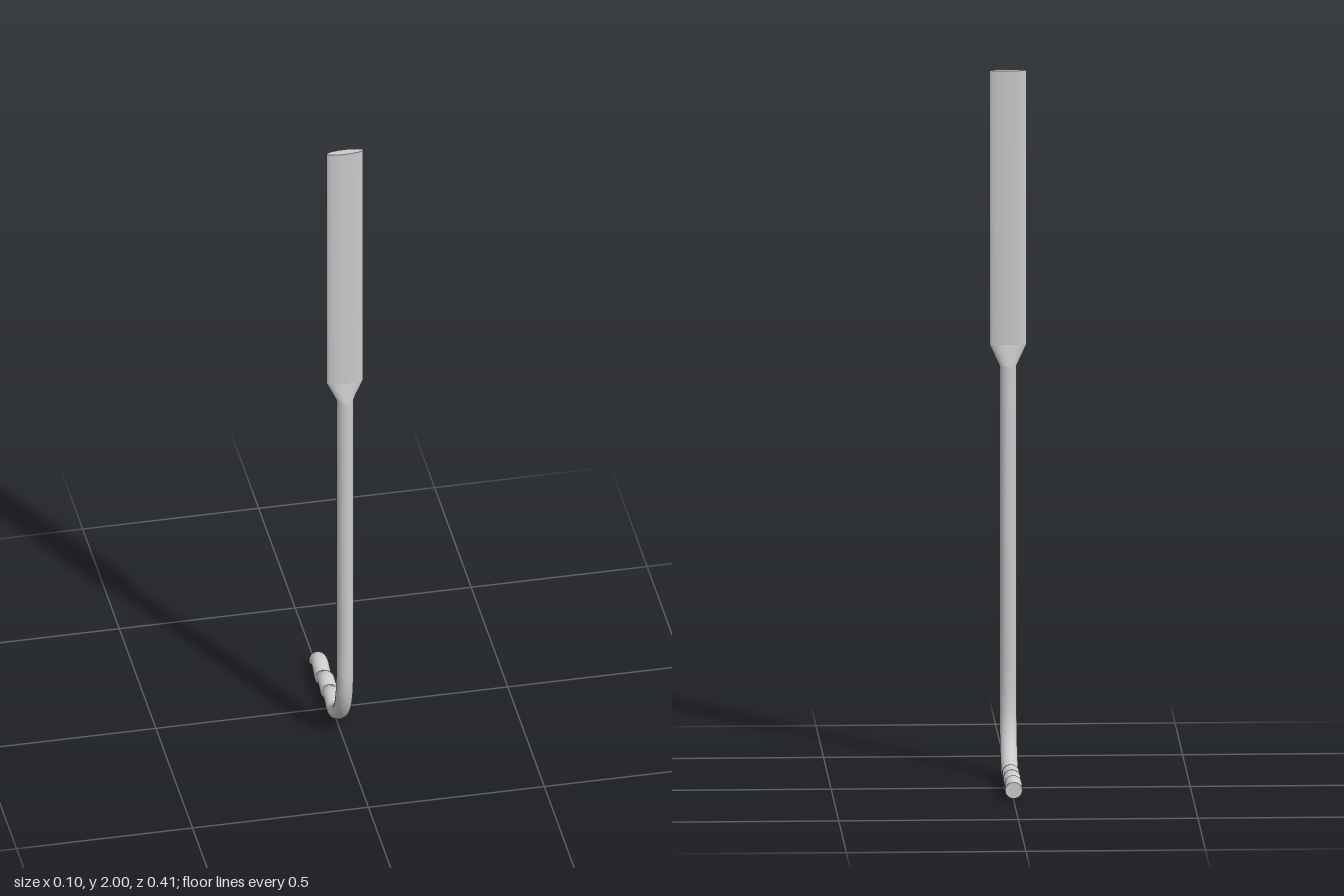
import * as THREE from 'three';

const SIDES = 24;
const material = new THREE.MeshStandardMaterial({ color: 0xcccccc });

// Sweeps elliptical rings { y, z, ty, tz, a, b } lying in the x = 0 plane
function sweep(name, rings, capStart = false, capEnd = false) {
  const pos = [], idx = [];
  const addRing = (r) => {
    const start = pos.length / 3;
    for (let j = 0; j < SIDES; j++) {
      const t = (j / SIDES) * Math.PI * 2, s = r.b * Math.sin(t);
      pos.push(r.a * Math.cos(t), r.y + s * r.tz, r.z - s * r.ty);
    }
    return start;
  };
  rings.forEach(addRing);
  for (let i = 0; i < rings.length - 1; i++) {
    for (let j = 0; j < SIDES; j++) {
      const k = (j + 1) % SIDES, p = i * SIDES, q = p + SIDES;
      idx.push(p + j, p + k, q + j, p + k, q + k, q + j);
    }
  }
  // Flat end caps with their own vertices, so the rims stay sharp
  const cap = (r, flip) => {
    const s = addRing(r);
    for (let j = 1; j < SIDES - 1; j++) {
      idx.push(s, s + (flip ? j + 1 : j), s + (flip ? j : j + 1));
    }
  };
  if (capStart) cap(rings[0], true);
  if (capEnd) cap(rings[rings.length - 1], false);
  const geo = new THREE.BufferGeometry();
  geo.setAttribute('position', new THREE.Float32BufferAttribute(pos, 3));
  geo.setIndex(idx);
  geo.computeVertexNormals();
  const mesh = new THREE.Mesh(geo, material);
  mesh.name = name;
  return mesh;
}

export function createModel() {
  const group = new THREE.Group();
  group.name = 'hookedTool';
  const Z = 0.179, A = 0.024, B = 0.023;
  const upright = (y, a, b) => ({ y, z: Z, ty: -1, tz: 0, a, b });

  // Flat blade and the shoulder that narrows it to the round rod
  const bladeTop = upright(2, 0.052, 0.012);
  const bladeEnd = upright(1.225, 0.052, 0.012);
  const rodTop = upright(1.165, A, B);
  group.add(sweep('blade', [bladeTop, bladeEnd], true));
  group.add(sweep('shoulder', [bladeEnd, rodTop]));

  // Straight rod
  const rodEnd = upright(0.3, A, B);
  group.add(sweep('rod', [rodTop, rodEnd]));

  // Bend and wavy foot, given as [z, y] along the centreline
  const path = new THREE.CatmullRomCurve3([
    [Z, 0.3], [0.177, 0.22], [0.166, 0.155], [0.141, 0.102], [0.1, 0.06],
    [0.05, 0.032], [0.025, 0.037], [0, 0.047], [-0.02, 0.039], [-0.04, 0.032],
    [-0.06, 0.04], [-0.08, 0.046], [-0.1, 0.035], [-0.12, 0.026],
    [-0.143, 0.038], [-0.165, 0.045], [-0.185, 0.04], [-0.2, 0.032],
  ].map(([z, y]) => new THREE.Vector3(0, y, z)));
  const rings = [];
  for (let i = 0; i <= 90; i++) {
    const p = path.getPointAt(i / 90), t = path.getTangentAt(i / 90);
    if (i === 0) t.set(0, -1, 0);
    if (i === 90) t.set(0, 0, -1);
    rings.push({ y: p.y, z: p.z, ty: t.y, tz: t.z, a: A, b: B });
  }
  group.add(sweep('wavyFoot', rings, false, true));
  return group;
}
